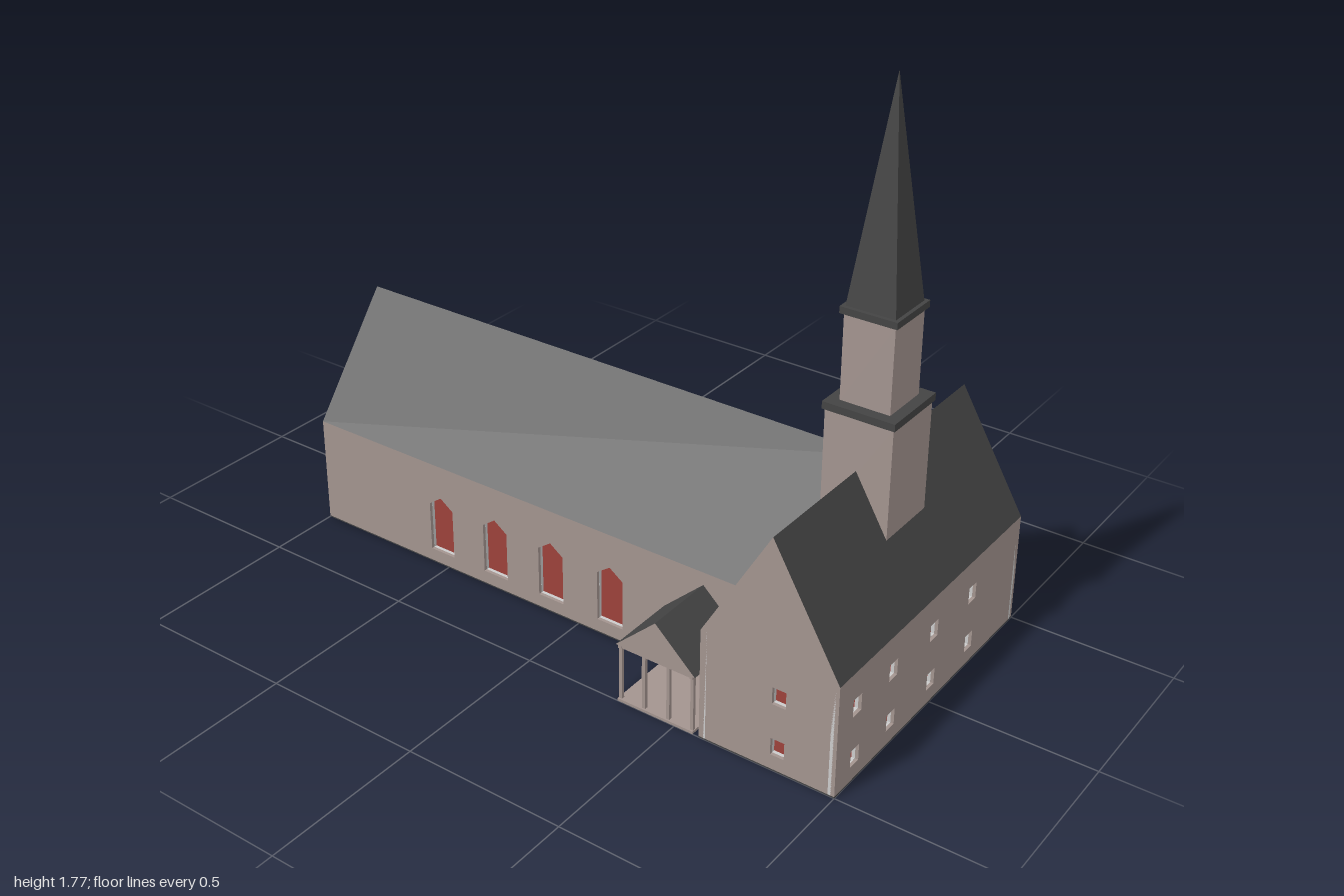
import * as THREE from 'three';

const mat = (color) => new THREE.MeshStandardMaterial({ color });
const WALL = mat(0xa3948f), ROOF = mat(0x444444), FLOOR = mat(0x8c3a34), LINING = mat(0xcccccc);

const EAVE = 0.345, RIDGE = 0.705, BASE = 0.004;
const NAVE = 0.275;                                   // half width of the nave
const TR = { x: 0.79, half: 0.21, z: 0.5 };           // transept centre, half width, half length
const TW = TR.x - TR.half;                            // west face of the transept

const shapeOf = (pts) => new THREE.Shape(pts.map(([x, y]) => new THREE.Vector2(x, y)));

export function createModel() {
  const church = new THREE.Group();
  church.name = 'church';

  const add = (name, geometry, material, x = 0, y = 0, z = 0, parent = church) => {
    const mesh = new THREE.Mesh(geometry, material);
    mesh.name = name;
    mesh.position.set(x, y, z);
    parent.add(mesh);
    return mesh;
  };
  const box = (name, w, h, d, x, y, z, material, parent) =>
    add(name, new THREE.BoxGeometry(w, h, d), material, x, y + h / 2, z, parent);
  const extrude = (shape, depth) =>
    new THREE.ExtrudeGeometry(shape, { depth, bevelEnabled: false, curveSegments: 16 });

  // Outlines of openings and walls
  const rect = (x0, x1, y0, y1) => [[x0, y0], [x1, y0], [x1, y1], [x0, y1]];
  const smallWindows = (u) => [0.075, 0.235].map((y) => shapeOf(rect(u - 0.021, u + 0.021, y - 0.026, y + 0.026)));
  const pointedWindow = (u) =>
    shapeOf([[u - 0.045, 0.045], [u + 0.045, 0.045], [u + 0.045, 0.205], [u, 0.237], [u - 0.045, 0.205]]);
  const arch = (r) => {
    const s = new THREE.Shape();
    s.moveTo(-r, 0.19 - r);
    s.lineTo(r, 0.19 - r);
    s.lineTo(r, 0.385);
    s.absarc(0, 0.385, r, 0, Math.PI, false);
    s.closePath();
    return s;
  };
  const gable = (cx, w) => [[cx - w, BASE], [cx + w, BASE], [cx + w, EAVE], [cx + w - 0.01, EAVE],
    [cx, RIDGE - 0.017], [cx - w + 0.01, EAVE], [cx - w, EAVE]];

  // A wall has a coloured outer skin and a grey inner lining with the same openings
  const wall = (name, outline, holes, x, z, turn) => {
    const group = new THREE.Group();
    group.name = name;
    const shape = shapeOf(outline);
    shape.holes.push(...holes);
    add('outerSkin', extrude(shape, 0.01), WALL, 0, 0, -0.01, group);
    add('innerLining', extrude(shape, 0.01), LINING, 0, 0, -0.0201, group);
    group.position.set(x, 0, z);
    group.rotation.y = turn;
    church.add(group);
  };

  // Nave side walls with pointed windows and a doorway
  for (const s of [1, -1]) {
    const ends = [-s, s * TW].sort((a, b) => a - b);
    const holes = [-0.52, -0.31, -0.1, 0.115].map((x) => pointedWindow(s * x));
    holes.push(shapeOf(rect(s * 0.435 - 0.036, s * 0.435 + 0.036, 0.01, s > 0 ? 0.18 : 0.115)));
    wall(s > 0 ? 'naveFrontWall' : 'naveBackWall', rect(ends[0], ends[1], BASE, EAVE), holes,
      0, s * NAVE, s > 0 ? 0 : Math.PI);
  }

  // Nave end gable with a large framed arch
  wall('naveEndGable', gable(0, NAVE), [arch(0.15)], -1, 0, -Math.PI / 2);
  const frame = arch(0.15);
  frame.holes.push(arch(0.138));
  add('archFrame', extrude(frame, 0.03), ROOF, -0.995, 0, 0).rotation.y = Math.PI / 2;

  // Transept walls
  wall('transeptFrontGable', gable(TR.x, TR.half), smallWindows(0.825), 0, TR.z, 0);
  wall('transeptBackGable', gable(-TR.x, TR.half), [...smallWindows(-0.96), ...smallWindows(-0.622)],
    0, -TR.z, Math.PI);
  wall('transeptEndWall', rect(-TR.z, TR.z, BASE, EAVE),
    [0.405, 0.22, 0, -0.22].flatMap((z) => smallWindows(-z)), 1, 0, Math.PI / 2);
  for (const [a, b] of [[NAVE, TR.z], [-TR.z, -NAVE]])
    wall('transeptInnerWall', rect(a, b, BASE, EAVE), [], TW, 0, -Math.PI / 2);

  // Pitched roofs, each with a grey ceiling just below
  const pitchedRoof = (name, w, length) => {
    const group = new THREE.Group();
    group.name = name;
    const top = shapeOf([[-w, EAVE], [-w + 0.01, EAVE], [0, RIDGE - 0.017], [w - 0.01, EAVE], [w, EAVE], [0, RIDGE]]);
    add('roofSlopes', extrude(top, length), [WALL, ROOF], 0, 0, 0, group);
    const under = shapeOf([[-w + 0.011, EAVE], [-w + 0.018, EAVE], [0, RIDGE - 0.03], [w - 0.018, EAVE],
      [w - 0.011, EAVE], [0, RIDGE - 0.019]]);
    add('ceiling', extrude(under, length - 0.04), LINING, 0, 0, 0.02, group);
    church.add(group);
    return group;
  };
  const naveRoof = pitchedRoof('naveRoof', NAVE, 1 + TR.x);
  naveRoof.rotation.y = Math.PI / 2;
  naveRoof.position.x = -1;
  pitchedRoof('transeptRoof', TR.half, 2 * TR.z).position.set(TR.x, 0, -TR.z);

  // Dark underside and red floor
  const naveLength = 1 + TW;
  box('naveBase', naveLength, BASE, 2 * NAVE, -1 + naveLength / 2, 0, 0, ROOF);
  box('transeptBase', 2 * TR.half, BASE, 2 * TR.z, TR.x, 0, 0, ROOF);
  box('naveFloor', naveLength - 0.02, 0.004, 2 * NAVE - 0.04, -1 + naveLength / 2 + 0.01, BASE, 0, FLOOR);
  box('transeptFloor', 2 * TR.half - 0.04, 0.004, 2 * TR.z - 0.04, TR.x, BASE, 0, FLOOR);

  // Porches on both sides of the nave
  for (const s of [1, -1]) {
    const porch = new THREE.Group();
    porch.name = s > 0 ? 'frontPorch' : 'backPorch';
    const depth = TR.z - NAVE, cx = 0.435;
    add('porchRoof', extrude(shapeOf([[-0.13, 0.185], [0.13, 0.185], [0, 0.305]]), depth), [WALL, ROOF],
      cx, 0, s > 0 ? NAVE : -TR.z, porch);
    box('porchFloor', 0.25, 0.008, depth, cx, 0, s * (NAVE + depth / 2), WALL, porch);
    box('porchBeam', 0.245, 0.01, 0.012, cx, 0.176, s * 0.49, WALL, porch);
    for (const x of [-0.118, -0.04, 0.04, 0.118])
      box('porchPost', 0.01, 0.177, 0.01, cx + x, 0.008, s * 0.49, WALL, porch);
    for (const x of [-0.118, 0.118]) {
      box('sideBeam', 0.01, 0.01, depth, cx + x, 0.176, s * (NAVE + depth / 2), WALL, porch);
      box('sidePost', 0.01, 0.177, 0.01, cx + x, 0.008, s * 0.385, WALL, porch);
    }
    church.add(porch);
  }

  // Steeple
  const steeple = new THREE.Group();
  steeple.name = 'steeple';
  steeple.position.x = TR.x;
  const block = (name, half, y0, y1, material) =>
    box(name, 2 * half, y1 - y0, 2 * half, 0, y0, 0, material, steeple);
  block('lowerTower', 0.102, 0.53, 0.86, WALL);
  block('lowerCollar', 0.108, 0.858, 0.88, ROOF);
  block('upperTower', 0.075, 0.88, 1.132, WALL);
  block('upperCollar', 0.084, 1.13, 1.15, ROOF);
  const spire = new THREE.ConeGeometry(0.073 * Math.SQRT2, 0.62, 4).toNonIndexed();
  spire.computeVertexNormals();
  add('spire', spire, ROOF, 0, 1.46, 0, steeple).rotation.y = Math.PI / 4;
  church.add(steeple);

  return church;
}
